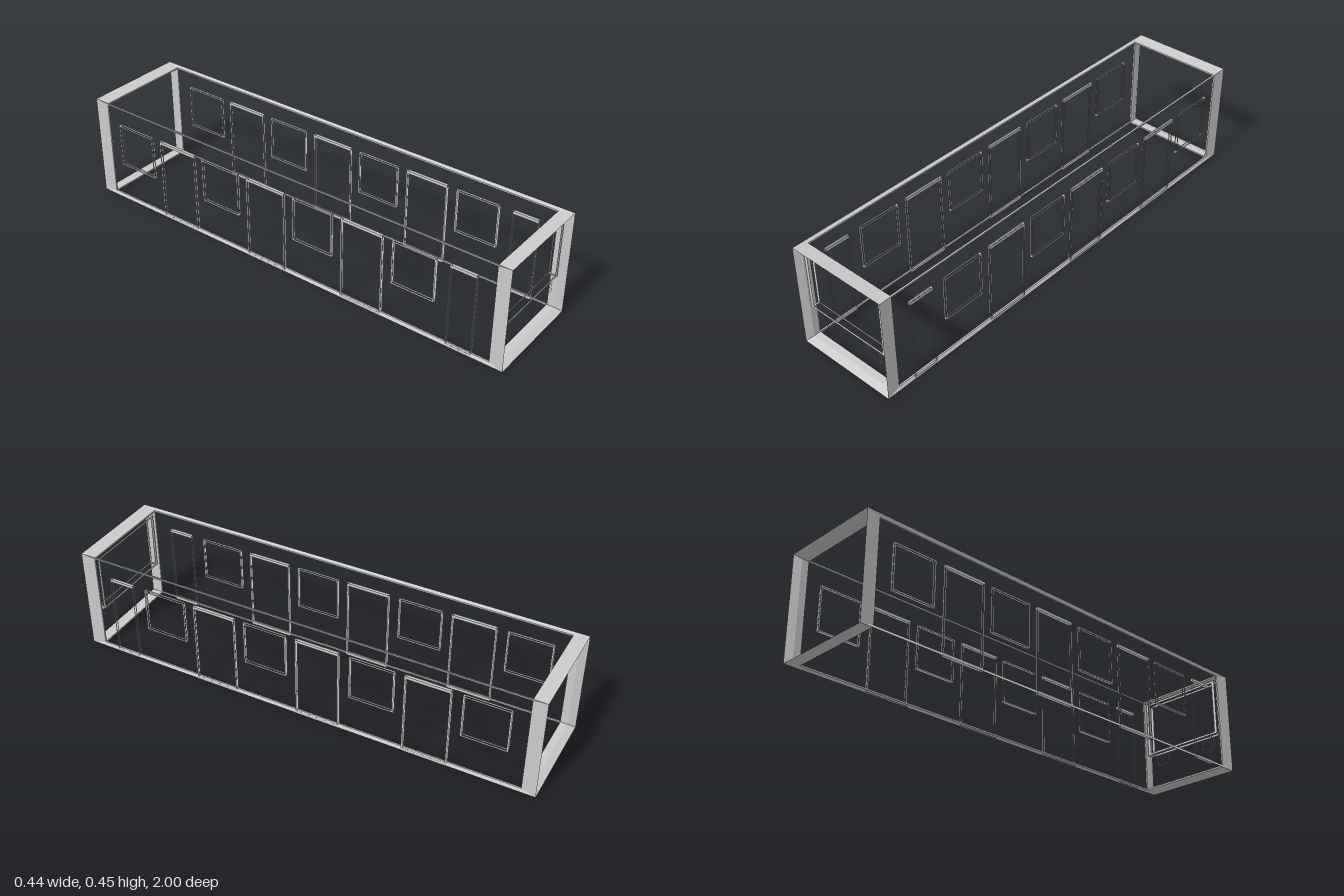
import * as THREE from 'three';

const material = new THREE.MeshStandardMaterial({ color: 0xcccccc, flatShading: true });

// Open lattice box: every edge is a mitred diamond-section bar whose width is
// a fixed share t of the box size along each axis.
function wireBox(name, min, max, t = 0.03) {
  const centre = min.map((v, i) => (v + max[i]) / 2);
  const half = min.map((v, i) => (max[i] - v) / 2);
  const positions = [];
  const ring = [[1, 1], [-1, 1], [-1, -1], [1, -1]];

  for (let a = 0; a < 3; a++) {
    const b = (a + 1) % 3, c = (a + 2) % 3;
    for (const side of [1, -1]) {
      const point = ([u, v], depth, inset) => {
        const p = [0, 0, 0];
        p[a] = centre[a] + half[a] * side * (1 - depth);
        p[b] = centre[b] + half[b] * u * (1 - inset);
        p[c] = centre[c] + half[c] * v * (1 - inset);
        return p;
      };
      // outer corner, rim of the opening, inner corner
      const levels = [[0, 0], [t, 2 * t], [2 * t, 2 * t]];
      for (let i = 0; i < 4; i++) {
        const from = ring[i], to = ring[(i + 1) % 4];
        for (let k = 0; k < 2; k++) {
          const q = [
            point(from, ...levels[k]), point(to, ...levels[k]),
            point(to, ...levels[k + 1]), point(from, ...levels[k + 1]),
          ];
          if (side < 0) q.reverse();
          for (const n of [0, 1, 2, 0, 2, 3]) positions.push(...q[n]);
        }
      }
    }
  }
  const geometry = new THREE.BufferGeometry();
  geometry.setAttribute('position', new THREE.Float32BufferAttribute(positions, 3));
  geometry.computeVertexNormals();
  const mesh = new THREE.Mesh(geometry, material);
  mesh.name = name;
  return mesh;
}

export function createModel() {
  const model = new THREE.Group();
  model.name = 'carriageFrame';

  // Main body
  model.add(wireBox('bodyFrame', [-0.222, 0.002, -1], [0.222, 0.447, 1]));

  // Front window and the two lamps below it
  model.add(wireBox('windscreenFrame', [-0.196, 0.171, 0.942], [0.196, 0.422, 0.973], 0.037));
  for (const x of [-0.125, 0.131]) {
    model.add(wireBox('headlightFrame', [x - 0.0315, 0.12, 0.965], [x + 0.0315, 0.161, 0.972], 0.036));
  }

  // Doors and windows alternate along both sides
  for (const [label, x0, x1] of [['left', 0.2105, 0.2223], ['right', -0.2218, -0.21]]) {
    const side = new THREE.Group();
    side.name = label + 'Side';
    side.add(wireBox('cabDoorFrame', [x0, 0.001, 0.757], [x1, 0.365, 0.867], 0.036));
    for (let i = 0; i < 3; i++) {
      const z = 0.374 - i * 0.461;
      side.add(wireBox('doorFrame', [x0, 0.001, z - 0.095], [x1, 0.365, z + 0.095], 0.036));
    }
    for (let i = 0; i < 4; i++) {
      const z = 0.605 - i * 0.462;
      side.add(wireBox('windowFrame', [x0, 0.171, z - 0.095], [x1, 0.362, z + 0.095], 0.036));
    }
    model.add(side);
  }
  return model;
}
